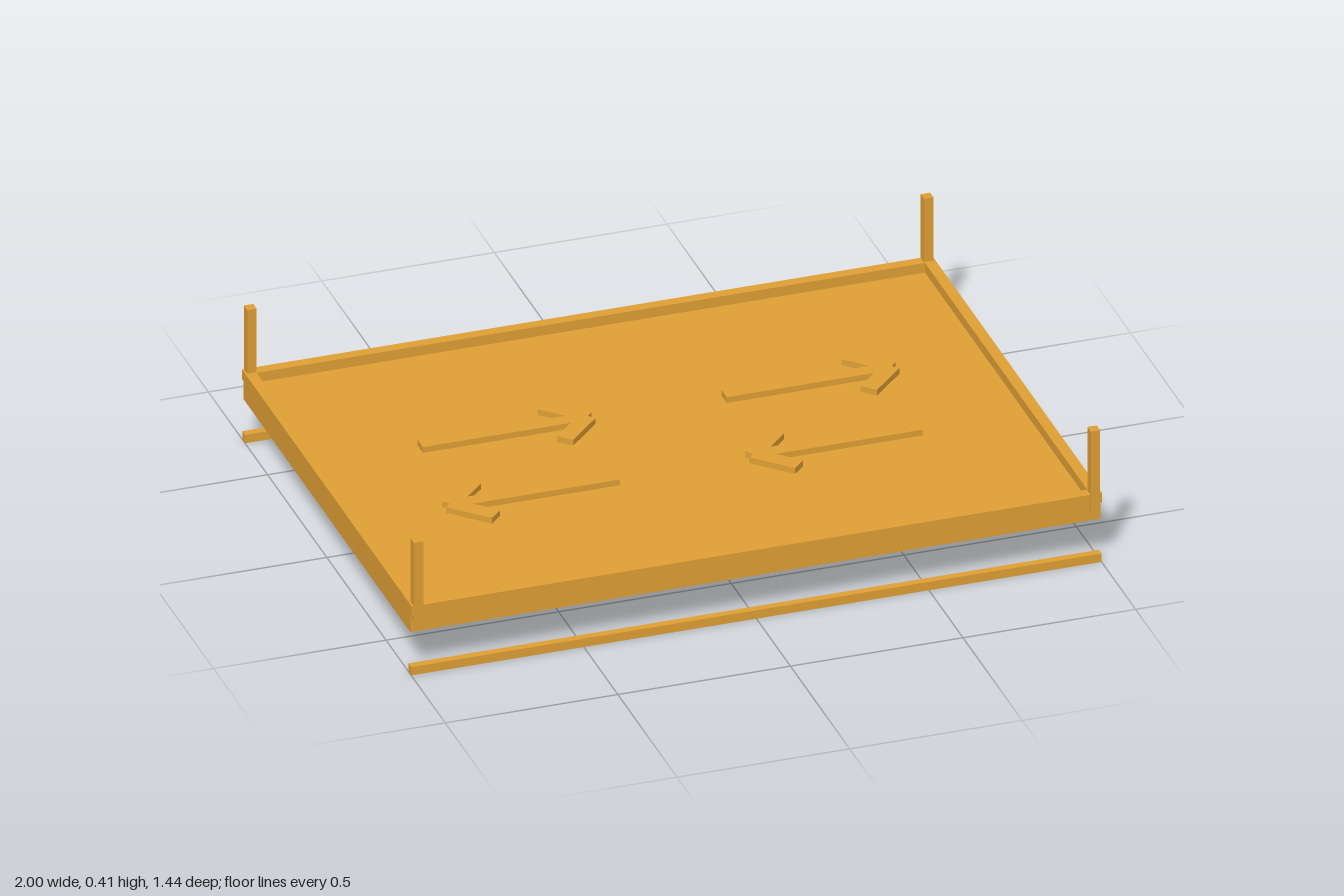
import * as THREE from 'three';

const material = new THREE.MeshStandardMaterial({ color: 0xdf9f35, flatShading: true });

// Box given by its minimum and maximum on each axis
function bar(name, [x0, x1], [y0, y1], [z0, z1]) {
  const mesh = new THREE.Mesh(new THREE.BoxGeometry(x1 - x0, y1 - y0, z1 - z0), material);
  mesh.position.set((x0 + x1) / 2, (y0 + y1) / 2, (z0 + z1) / 2);
  mesh.name = name;
  return mesh;
}

// Range mirrored to the given side
const sided = (s, a, b) => (s > 0 ? [a, b] : [-b, -a]);

// Raised arrow with its tip at the origin, pointing to +x
function createArrow() {
  const arrow = new THREE.Group();
  arrow.name = 'arrow';
  arrow.add(bar('arrowShaft', [-0.502, -0.051], [-0.01, 0.018], [-0.022, 0.022]));
  for (const s of [-1, 1]) {
    const arm = bar('arrowHeadArm', [-0.07, 0.07], [-0.01, 0.018], [-0.025, 0.025]);
    arm.position.x = -0.067;
    arm.position.z = s * 0.049;
    arm.rotation.y = s * Math.PI / 4;
    arrow.add(arm);
  }
  return arrow;
}

export function createModel() {
  const model = new THREE.Group();
  model.name = 'platform';
  const deckTop = 0.187, railTop = 0.217;

  model.add(bar('deck', [-1, 1], [0.131, deckTop], [-0.705, 0.705]));

  for (const s of [-1, 1]) {
    // Raised rim
    model.add(bar('sideRail', sided(s, 0.968, 1), [deckTop, railTop], [-0.717, 0.717]));
    model.add(bar('endRail', [-0.968, 0.968], [deckTop, railTop], sided(s, 0.685, 0.717)));
    // Separate runner below the deck
    model.add(bar('lowerRunner', [-1, 1], [0, 0.026], sided(s, 0.69, 0.713)));
    // Corner posts
    for (const t of [-1, 1]) {
      model.add(bar('cornerPost', sided(s, 0.967, 0.994), [0.167, 0.415], sided(t, 0.689, 0.718)));
    }
  }

  // Two lanes of arrows pointing in opposite directions
  for (const [tip, z, turn] of [[-0.166, -0.178, 0], [0.714, -0.178, 0], [-0.719, 0.172, Math.PI], [0.159, 0.172, Math.PI]]) {
    const arrow = createArrow();
    arrow.position.set(tip, deckTop, z);
    arrow.rotation.y = turn;
    model.add(arrow);
  }
  return model;
}
